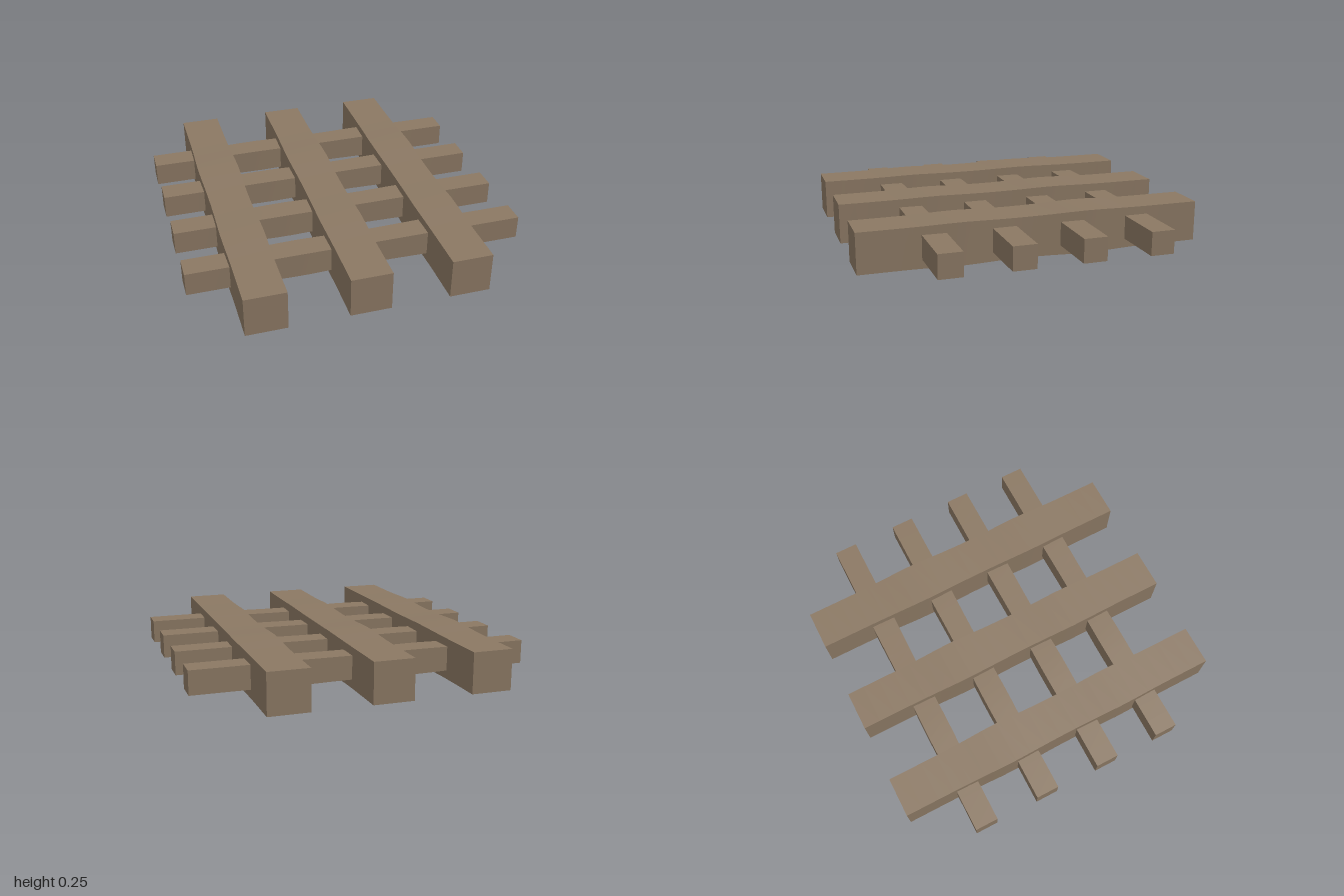
import * as THREE from 'three';

const wood = new THREE.MeshStandardMaterial({ color: 0x8b7863 });
wood.name = 'weathered wood';

// Gentle swelling along a hewn timber; zero at both sawn ends
const bump = (z, centre, width) => Math.exp(-(((z - centre) / width) ** 2));
const swell = (z) => Math.abs(z) > 0.9 ? 0 : 0.006 * bump(z, 0.42, 0.17) + 0.008 * bump(z, -0.32, 0.2);

// Square timber running along z, its long faces slightly uneven
function timber(size, length, unevenness) {
  const geometry = new THREE.BoxGeometry(size, size, length, 1, 1, 20);
  const p = geometry.attributes.position;
  for (let i = 0; i < p.count; i++) {
    const s = swell(p.getZ(i)) * unevenness;
    p.setX(i, p.getX(i) + Math.sign(p.getX(i)) * s);
    p.setY(i, p.getY(i) + Math.sign(p.getY(i)) * s);
  }
  geometry.computeVertexNormals();
  return geometry;
}

export function createModel() {
  const model = new THREE.Group();
  model.name = 'timber grate';

  // Three thick beams running front to back
  const beamGeometry = timber(0.235, 2, 1);
  [-0.618, -0.042, 0.532].forEach((x, i) => {
    const beam = new THREE.Mesh(beamGeometry, wood);
    beam.name = `beam${i + 1}`;
    beam.position.set(x, 0.126, 0);
    model.add(beam);
  });

  // Four thinner crossbars passing through the beams
  const barGeometry = timber(0.137, 1.965, 0.5);
  barGeometry.rotateY(Math.PI / 2);
  [-0.617, -0.22, 0.178, 0.576].forEach((z, i) => {
    const bar = new THREE.Mesh(barGeometry, wood);
    bar.name = `crossbar${i + 1}`;
    bar.position.set(0, 0.128, z);
    model.add(bar);
  });

  return model;
}
